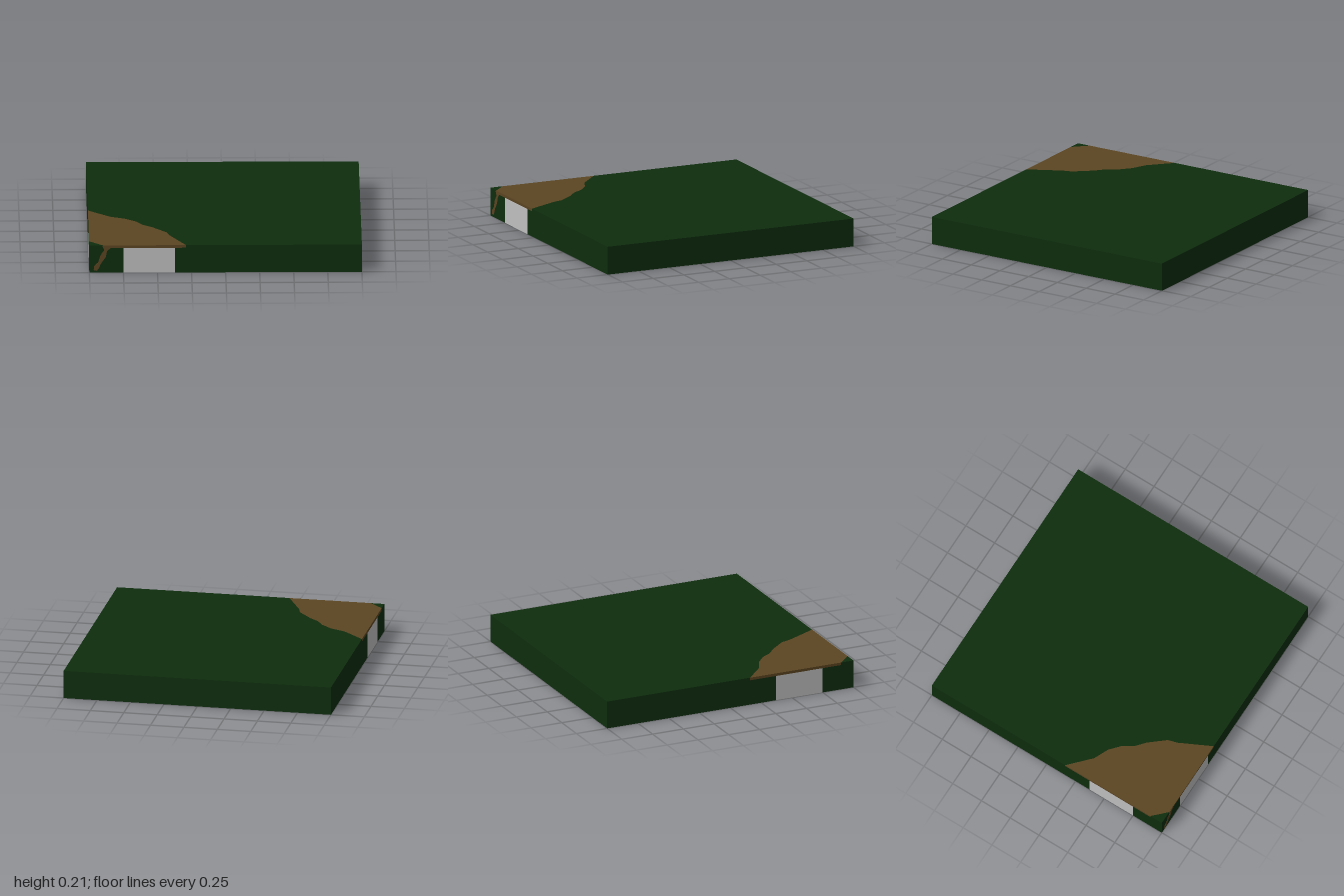
import * as THREE from 'three';

const HEIGHT = 0.21;
const SEAM = 0.19; // underside of the dirt layer

// Band edges as [x, z], running from the x = -1 side to the z = 1 side
const DIRT_OUTER = [[-1, 0.16], [-0.84, 0.31], [-0.73, 0.36], [-0.65, 0.43], [-0.6, 0.51],
  [-0.53, 0.57], [-0.43, 0.69], [-0.41, 0.76], [-0.29, 1]];
const DIRT_INNER = [[-1, 0.9], [-0.9, 1]];
const STONE_OUTER = [[-1, 0.37], [-0.85, 0.385], [-0.72, 0.4], [-0.65, 0.47], [-0.52, 0.58],
  [-0.43, 0.73], [-0.37, 0.86], [-0.37, 1]];
const STONE_INNER = [[-1, 0.75], [-0.95, 0.82], [-0.9, 0.9], [-0.81, 0.95], [-0.75, 1]];

const GROUND_CORNERS = [[1, 1], [1, -1], [-1, -1]];
const TILE_CORNER = [[-1, 1]];

// Raises a flat [x, z] outline into a slab between two heights
function slab(name, outline, y0, y1, material) {
  const shape = new THREE.Shape(outline.map(([x, z]) => new THREE.Vector2(x, -z)));
  const geometry = new THREE.ExtrudeGeometry(shape, { depth: y1 - y0, bevelEnabled: false });
  geometry.rotateX(-Math.PI / 2).translate(0, y0, 0);
  const mesh = new THREE.Mesh(geometry, material);
  mesh.name = name;
  return mesh;
}

// One layer: the main ground, the curved band and the small corner piece
function layer(name, bandName, outer, inner, y0, y1, ground, band) {
  const group = new THREE.Group();
  group.name = name;
  group.add(
    slab('ground', [...outer, ...GROUND_CORNERS], y0, y1, ground),
    slab(bandName, [...outer, ...[...inner].reverse()], y0, y1, band),
    slab('groundCorner', [...inner, ...TILE_CORNER], y0, y1, ground),
  );
  return group;
}

export function createModel() {
  const grass = new THREE.MeshStandardMaterial({ color: 0x0e2d0e });
  grass.name = 'dark green';
  const dirt = new THREE.MeshStandardMaterial({ color: 0x5c4522 });
  dirt.name = 'brown';
  const stone = new THREE.MeshStandardMaterial({ color: 0xc0c0c0 });
  stone.name = 'light grey';

  const model = new THREE.Group();
  model.name = 'pathCornerTile';
  model.add(
    layer('lowerLayer', 'stoneBand', STONE_OUTER, STONE_INNER, 0, SEAM, grass, stone),
    layer('upperLayer', 'dirtPath', DIRT_OUTER, DIRT_INNER, SEAM, HEIGHT, grass, dirt),
  );

  // Streak of dirt running down the front face
  const streak = new THREE.Shape([[-0.905, 0.205], [-0.86, 0.205], [-0.845, 0.19], [-0.87, 0.165],
    [-0.88, 0.12], [-0.915, 0.07], [-0.93, 0.035], [-0.945, 0.015], [-0.968, 0.02], [-0.965, 0.05],
    [-0.935, 0.08], [-0.92, 0.13], [-0.89, 0.175]].map(([x, y]) => new THREE.Vector2(x, y)));
  const streakMesh = new THREE.Mesh(
    new THREE.ExtrudeGeometry(streak, { depth: 0.004, bevelEnabled: false }), dirt);
  streakMesh.name = 'dirtStreak';
  streakMesh.position.z = 0.998;
  model.add(streakMesh);

  return model;
}
